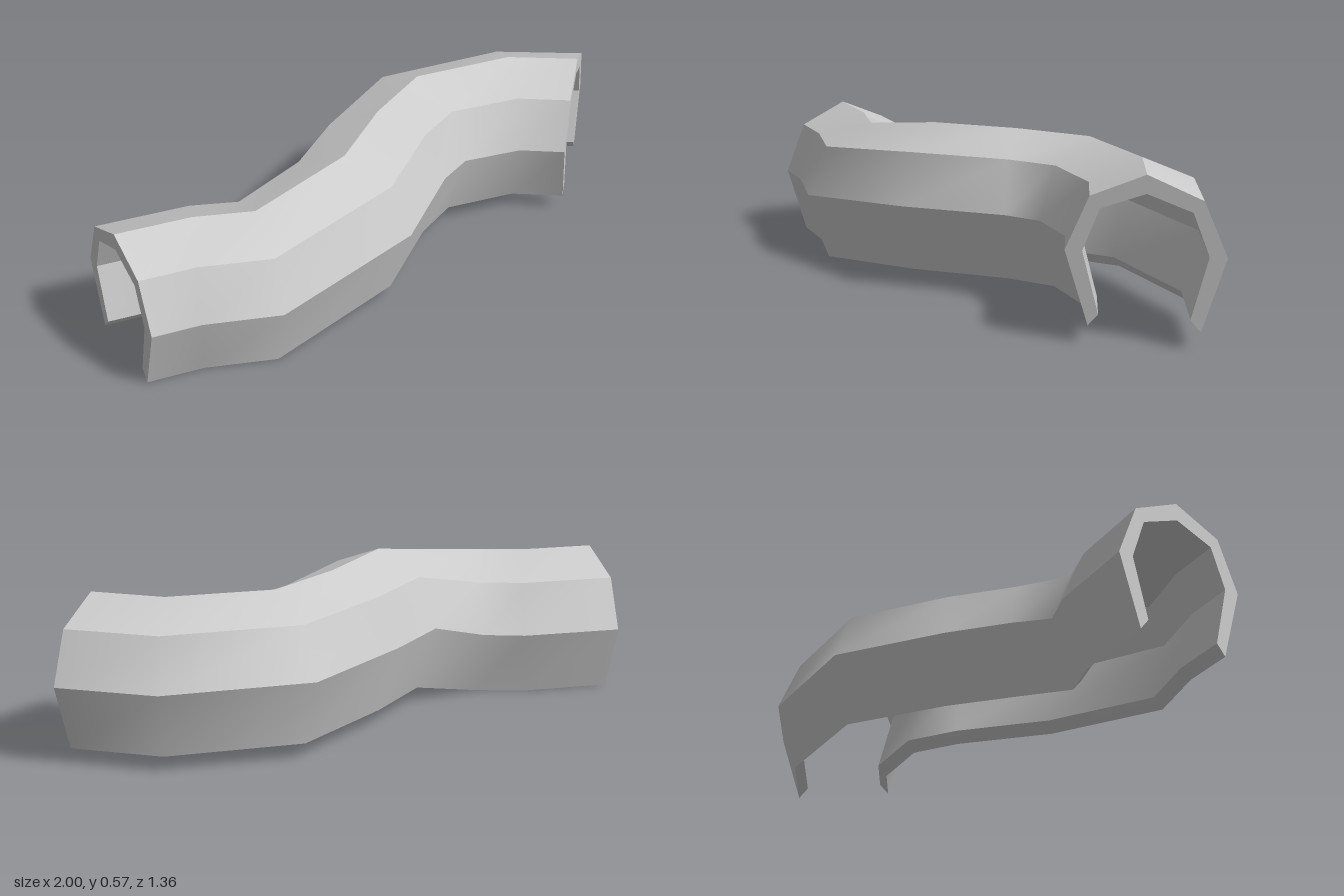
import * as THREE from 'three';
import { mergeGeometries } from 'three/addons/utils/BufferGeometryUtils.js';

// Mitred rings along the tunnel: back x,z, front x,z at the widest point, base height
const RINGS = [
  [-1.0, 0.195, -0.81, 0.675, 0],
  [-0.64, 0.115, -0.64, 0.635, 0],
  [-0.485, 0.12, -0.36, 0.625, 0],
  [-0.3, 0.02, 0.13, 0.32, 0.06],
  [-0.165, -0.19, 0.32, -0.015, 0.06],
  [0.115, -0.54, 0.42, -0.12, 0.06],
  [0.64, -0.68, 0.64, -0.16, 0.06],
  [1.0, -0.61, 0.805, -0.12, 0.06],
];

// Arch sections, back to front: offset (-1..1 of the half width) and height
const OUTER = [[-0.7, 0], [-1, 0.253], [-0.7, 0.437], [0, 0.515], [0.7, 0.437], [1, 0.253], [0.7, 0]];
const INNER = [[-0.57, 0.04], [-0.78, 0.253], [-0.57, 0.397], [0, 0.452], [0.57, 0.397], [0.78, 0.253], [0.57, 0.04]];

function place([bx, bz, fx, fz, base], [offset, height]) {
  const t = (offset + 1) / 2;
  return [bx + (fx - bx) * t, base + height, bz + (fz - bz) * t];
}

// Ribbon between two rows of points, smooth along its length
function ribbon(rowA, rowB) {
  const positions = [], index = [];
  rowA.forEach((a, i) => {
    positions.push(...a, ...rowB[i]);
    if (i === 0) return;
    const k = 2 * (i - 1);
    index.push(k, k + 1, k + 2, k + 1, k + 3, k + 2);
  });
  const geometry = new THREE.BufferGeometry();
  geometry.setAttribute('position', new THREE.Float32BufferAttribute(positions, 3));
  geometry.setIndex(index);
  geometry.computeVertexNormals();
  return geometry;
}

const rail = (point) => RINGS.map((ring) => place(ring, point));

// One ribbon per side of the section keeps the lengthwise edges sharp
function sweep(section) {
  return mergeGeometries(section.slice(1).map((p, j) => ribbon(rail(section[j]), rail(p))));
}

export function createModel() {
  const group = new THREE.Group();
  group.name = 'tunnel';
  const material = new THREE.MeshStandardMaterial({ color: 0xcccccc, side: THREE.DoubleSide });
  const add = (name, geometry) => {
    const mesh = new THREE.Mesh(geometry, material);
    mesh.name = name;
    group.add(mesh);
  };

  // Outside and inside of the arch
  add('outerShell', sweep(OUTER));
  add('innerLining', sweep([...INNER].reverse()));

  // Sloped undersides of the two walls
  add('backWallFoot', ribbon(rail(INNER[0]), rail(OUTER[0])));
  add('frontWallFoot', ribbon(rail(OUTER[6]), rail(INNER[6])));

  // Flat rims at the two openings
  const rim = (ring, section) => section.map((p) => place(ring, p));
  const first = RINGS[0], last = RINGS[RINGS.length - 1];
  add('leftOpeningRim', ribbon(rim(last, OUTER), rim(last, INNER)).scale(1, 1, 1));
  add('rightOpeningRim', ribbon(rim(first, INNER), rim(first, OUTER)));

  // Rims face outward along the tunnel
  for (const name of ['leftOpeningRim', 'rightOpeningRim']) {
    const geometry = group.getObjectByName(name).geometry;
    const outward = name === 'leftOpeningRim' ? 1 : -1;
    if (geometry.attributes.normal.getX(0) * outward < 0) {
      geometry.index.array.reverse();
      geometry.computeVertexNormals();
    }
  }
  return group;
}
